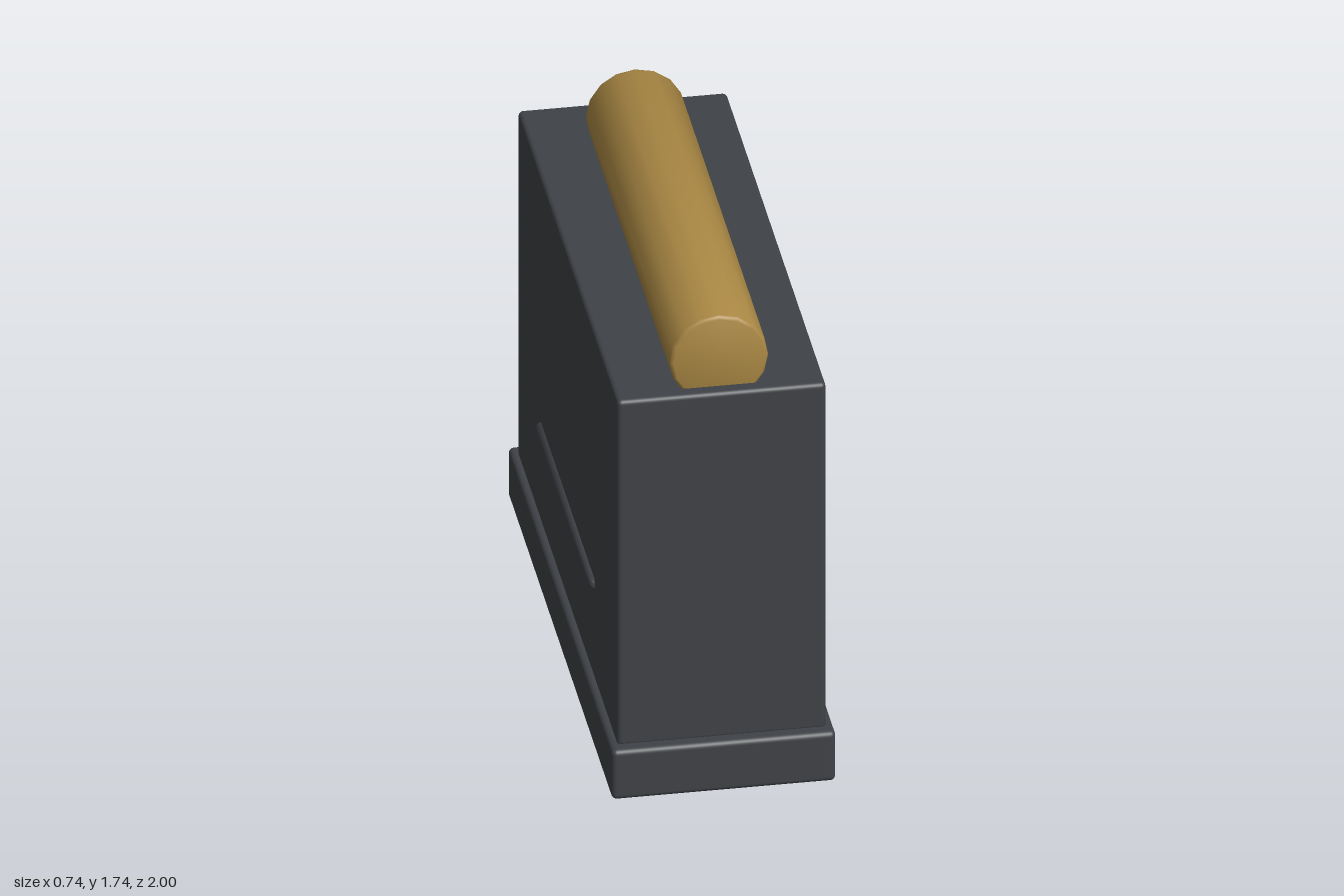
import * as THREE from 'three';
import { toCreasedNormals } from 'three/addons/utils/BufferGeometryUtils.js';
import { RoundedBoxGeometry } from 'three/addons/geometries/RoundedBoxGeometry.js';

const dark = new THREE.MeshStandardMaterial({ color: 0x3f4247 });
const brass = new THREE.MeshStandardMaterial({ color: 0xaa8844 });

// Box with softened edges, standing on y = bottom
function block(name, width, bottom, top, depth, bevel) {
  const geometry = new RoundedBoxGeometry(width, top - bottom, depth, 3, bevel);
  const mesh = new THREE.Mesh(geometry, dark);
  mesh.name = name;
  mesh.position.y = (bottom + top) / 2;
  return mesh;
}

// Rod along z with softened rims
function rod(name, radius, length, bevel, sides, material) {
  const h = length / 2;
  const c = bevel * 0.3;
  const profile = [
    [0, -h], [radius - bevel, -h], [radius - c, -h + c], [radius, -h + bevel],
    [radius, h - bevel], [radius - c, h - c], [radius - bevel, h], [0, h],
  ].map(([r, y]) => new THREE.Vector2(r, y));
  const geometry = toCreasedNormals(new THREE.LatheGeometry(profile, sides), 0.87);
  geometry.rotateX(Math.PI / 2);
  const mesh = new THREE.Mesh(geometry, material);
  mesh.name = name;
  return mesh;
}

export function createModel() {
  const group = new THREE.Group();
  group.name = 'magazine';

  // Base plate and body
  group.add(block('basePlate', 0.74, 0, 0.185, 2, 0.018));
  group.add(block('body', 0.69, 0.175, 1.478, 1.91, 0.016));

  // Cylinder partly sunk into the top, nearer the front
  const cartridge = rod('cartridge', 0.163, 1.625, 0.012, 16, brass);
  cartridge.position.set(0, 1.576, 0.096);
  group.add(cartridge);

  // Raised rib on each side
  for (const side of [1, -1]) {
    const rib = rod(side > 0 ? 'leftRib' : 'rightRib', 0.02, 1.045, 0.012, 8, dark);
    rib.position.set(side * 0.343, 0.536, 0);
    group.add(rib);
  }
  return group;
}
